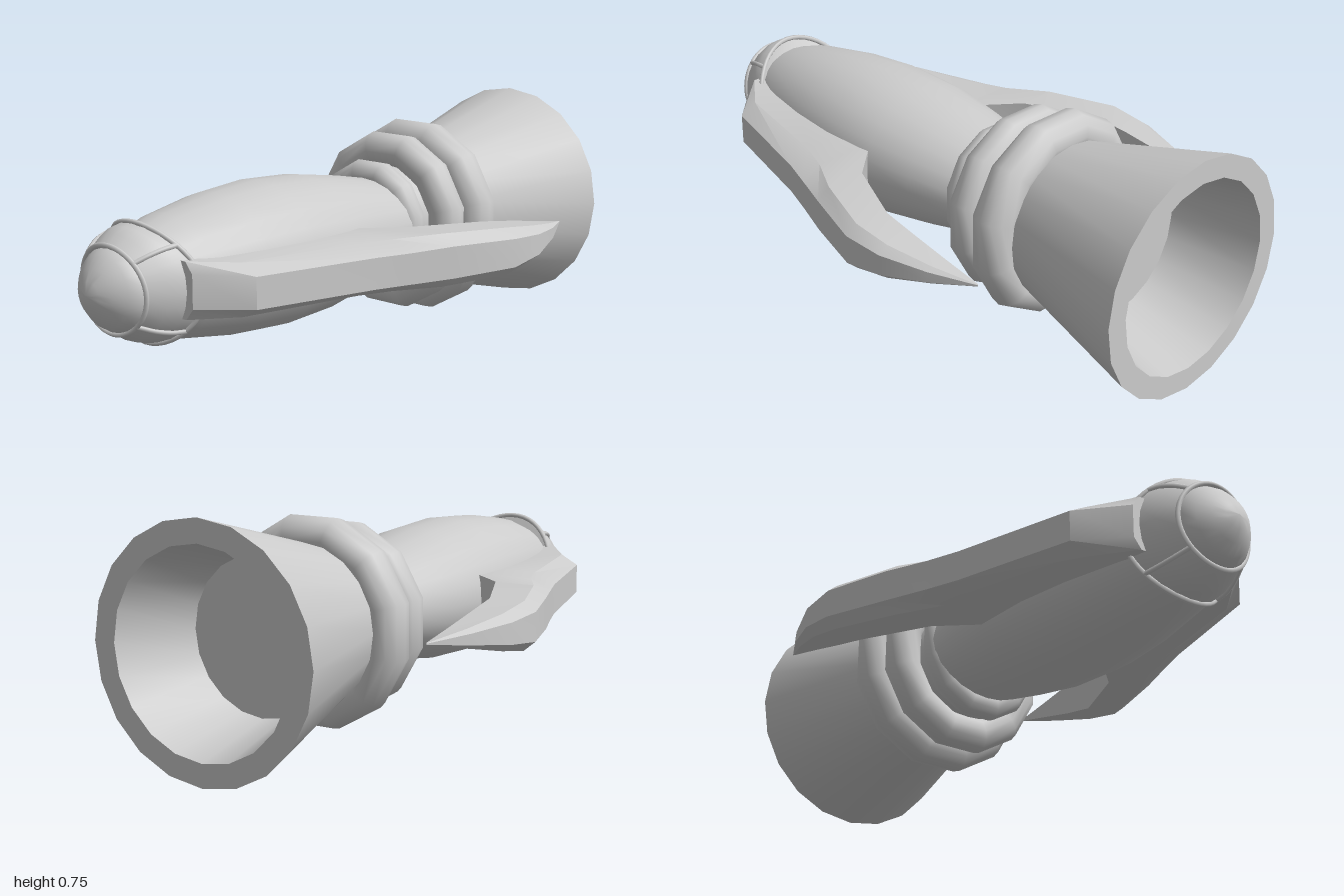
import * as THREE from 'three';
import { toCreasedNormals } from 'three/addons/utils/BufferGeometryUtils.js';

const AXIS = 0.38; // height of the long axis
const material = new THREE.MeshStandardMaterial({ color: 0xcccccc });

// Skin over cross-sections ordered front to back, each anticlockwise seen from +z
function loft(rings, crease) {
  const n = rings[0].length, pos = rings.flat(2), idx = [];
  for (let i = 0; i < rings.length - 1; i++) {
    for (let j = 0; j < n; j++) {
      const a = i * n + j, b = i * n + (j + 1) % n;
      idx.push(a, a + n, b, b, a + n, b + n);
    }
  }
  const last = (rings.length - 1) * n;
  for (let j = 1; j < n - 1; j++) {
    idx.push(0, j, j + 1, last, last + j + 1, last + j);
  }
  const geo = new THREE.BufferGeometry();
  geo.setAttribute('position', new THREE.Float32BufferAttribute(pos, 3));
  geo.setIndex(idx);
  return toCreasedNormals(geo, crease);
}

// Ellipse sections from rows of [z, x radius, y radius]
function ellipses(rows, sides) {
  return rows.map(([z, rx, ry = rx]) => Array.from({ length: sides }, (_, j) => {
    const t = (j / sides) * Math.PI * 2;
    return [rx * Math.cos(t), AXIS + ry * Math.sin(t), z];
  }));
}

// Point on the canopy: u runs from the swept rear edge to the front edge
function canopyPoint(u, t, lift = 0) {
  const lerp = THREE.MathUtils.lerp, bulge = 0.012 * Math.sin(u * Math.PI);
  const rx = lerp(0.193, 0.135, u) + bulge + lift;
  const ry = lerp(0.18, 0.128, u) + bulge + lift;
  const rear = 0.765 - 0.035 * Math.cos(2 * t) + 0.02 * Math.sin(t);
  const front = 0.902 - 0.008 * Math.cos(2 * t) + 0.005 * Math.sin(t);
  return [rx * Math.cos(t), AXIS + ry * Math.sin(t), lerp(rear, front, u)];
}

// Wing sections: [inner x, inner z, outer x, outer z, half height, centre y]
const wingRows = [
  [0.10, 0.79, 0.205, 0.785, 0.085, 0.385],
  [0.10, 0.66, 0.333, 0.66, 0.08, 0.38],
  [0.15, 0.27, 0.44, 0.27, 0.08, 0.38],
  [0.20, 0.16, 0.48, 0.16, 0.08, 0.38],
  [0.36, 0.016, 0.535, 0.02, 0.083, 0.383],
  [0.466, -0.217, 0.608, -0.195, 0.075, 0.385],
  [0.475, -0.34, 0.603, -0.33, 0.055, 0.388],
  [0.48, -0.48, 0.553, -0.48, 0.028, 0.392],
  [0.482, -0.61, 0.486, -0.615, 0.003, 0.395],
];

function wing(side) {
  const rings = wingRows.map(([ix, iz, ox, oz, h, y]) => {
    const corners = [[0, -1], [0.75, -1], [1, -0.6], [1, 0.6], [0.75, 1], [0, 1]];
    const ring = corners.map(([s, v]) =>
      [side * (ix + (ox - ix) * s), y + v * h, iz + (oz - iz) * s]);
    return side > 0 ? ring : ring.reverse();
  });
  return loft(rings, 0.5);
}

function tube(points, closed) {
  const curve = new THREE.CatmullRomCurve3(points.map(p => new THREE.Vector3(...p)), closed);
  return new THREE.TubeGeometry(curve, closed ? 48 : 8, 0.008, 6, closed);
}

export function createModel() {
  const model = new THREE.Group();
  const add = (name, geometry) => {
    const mesh = new THREE.Mesh(geometry, material);
    mesh.name = name;
    model.add(mesh);
    return mesh;
  };

  // Spindle-shaped hull
  add('hull', loft(ellipses([
    [0.79, 0.17, 0.155], [0.7, 0.2, 0.186], [0.5, 0.242, 0.218], [0.32, 0.264, 0.23],
    [0.12, 0.265, 0.218], [-0.05, 0.237, 0.19], [-0.22, 0.2, 0.155],
  ], 24), 0.7));

  // Canopy with a swept rear edge
  const angles = Array.from({ length: 24 }, (_, j) => (j / 24) * Math.PI * 2);
  const levels = [1, 0.66, 0.33, 0];
  add('canopy', loft(levels.map(u => angles.map(t => canopyPoint(u, t))), 0.7));

  // Pointed nose dome
  add('noseDome', loft(ellipses([
    [0.998, 0.003], [0.985, 0.038], [0.965, 0.075], [0.935, 0.108],
    [0.905, 0.13, 0.126], [0.88, 0.13, 0.126],
  ], 24), 0.7));

  // Canopy frame: two bands and four diagonal struts
  for (const [name, u] of [['rearCanopyBand', 0], ['frontCanopyBand', 1]]) {
    add(name, tube(angles.map(t => canopyPoint(u, t, 0.002)), true));
  }
  for (let k = 0; k < 4; k++) {
    const t = Math.PI / 4 + k * Math.PI / 2;
    add('canopyStrut', tube([0, 0.33, 0.66, 1].map(u => canopyPoint(u, t, 0.002)), false));
  }

  // Side wings sweeping back to curved points
  add('leftWing', wing(1));
  add('rightWing', wing(-1));

  // Rounded collar rings: [z, outer radius, tube radius]
  for (const [z, outer, r] of [[-0.225, 0.22, 0.048], [-0.327, 0.302, 0.06], [-0.453, 0.33, 0.068]]) {
    const ring = add('collarRing', new THREE.TorusGeometry(outer - r, r, 12, 12));
    ring.position.set(0, AXIS, z);
    ring.rotation.z = Math.PI / 12;
  }
  // Core filling the rings
  add('collarCore', loft(ellipses([[-0.19, 0.18], [-0.5, 0.23]], 20), 0.7));

  // Flared, hollow exhaust nozzle
  add('nozzle', loft(ellipses([
    [-0.45, 0.232], [-1, 0.376], [-1, 0.305], [-0.72, 0.24],
  ], 20), 0.7));

  return model;
}
